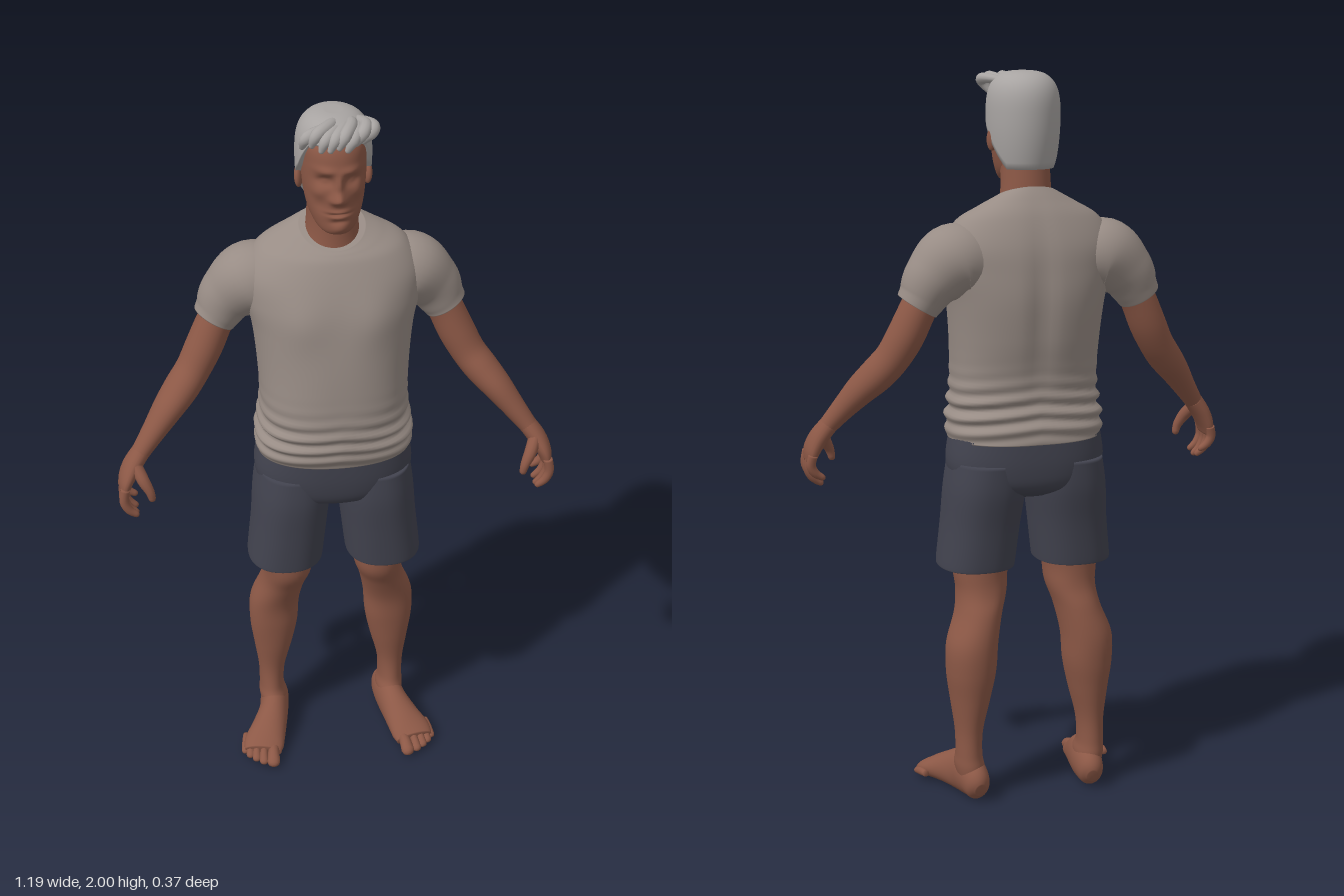
import * as THREE from 'three';

const mat = (name, color) => {
  const m = new THREE.MeshStandardMaterial({ color });
  m.name = name;
  return m;
};

// Catmull-Rom interpolation of rows of numbers
function smooth(rows, steps) {
  const out = [], last = rows.length - 1;
  for (let i = 0; i < last; i++) {
    const [a, b, c, d] = [rows[Math.max(i - 1, 0)], rows[i], rows[i + 1], rows[Math.min(i + 2, last)]];
    for (let k = 0; k < steps; k++) {
      const t = k / steps;
      out.push(b.map((_, j) => b[j] + 0.5 * t * (c[j] - a[j] + t * (2 * a[j] - 5 * b[j] + 4 * c[j] - d[j]
        + t * (3 * (b[j] - c[j]) + d[j] - a[j])))));
    }
  }
  out.push(rows[last]);
  return out;
}

// Skin a list of closed rings, facing outward, with optional end caps
function skin(rings, capStart = true, capEnd = true) {
  const n = rings[0].length, pts = rings.flat(), idx = [];
  for (let i = 0; i < rings.length - 1; i++) {
    for (let j = 0; j < n; j++) {
      const a = i * n + j, b = i * n + (j + 1) % n;
      idx.push(a, b, a + n, b, b + n, a + n);
    }
  }
  const cap = (r, flip) => {
    const c = pts.push(rings[r].reduce((s, p) => s.add(p), new THREE.Vector3()).divideScalar(n)) - 1;
    for (let j = 0; j < n; j++) {
      const a = r * n + j, b = r * n + (j + 1) % n;
      idx.push(c, flip ? b : a, flip ? a : b);
    }
  };
  if (capStart) cap(0, true);
  if (capEnd) cap(rings.length - 1, false);
  const mid = pts.reduce((s, p) => s.add(p), new THREE.Vector3()).divideScalar(pts.length);
  let volume = 0;
  const [A, B, C] = [0, 1, 2].map(() => new THREE.Vector3());
  for (let i = 0; i < idx.length; i += 3) {
    A.subVectors(pts[idx[i]], mid); B.subVectors(pts[idx[i + 1]], mid); C.subVectors(pts[idx[i + 2]], mid);
    volume += A.dot(B.cross(C));
  }
  if (volume < 0) idx.reverse();
  const g = new THREE.BufferGeometry().setFromPoints(pts);
  g.setIndex(idx);
  g.computeVertexNormals();
  return g;
}

const pw = (v, e) => Math.sign(v) * Math.abs(v) ** e;

// Horizontal sections: [y, centre x, half width, mid z, back z, front z, squareness, tilt]
function stack(rows, { side = 1, steps = 6, n = 48, warp = null, caps = [true, true] } = {}) {
  return skin(smooth(rows, steps).map(([y, cx, rx, zm, zb, zf, q, tilt]) => Array.from({ length: n }, (_, j) => {
    const t = j / n * Math.PI * 2, s = Math.sin(t);
    const dz = (s > 0 ? zf - zm : zm - zb) * pw(s, 2 / q);
    const p = new THREE.Vector3(side * (cx + rx * pw(Math.cos(t), 2 / q)), y + tilt * dz, zm + dz);
    if (warp) warp(p);
    return p;
  })), ...caps);
}

// Limb along a path: [x, y, z, radius across, radius along hint]
function limb(path, { side = 1, hint = [0, 0, 1], steps = 5, n = 20, floor = -1, round = false } = {}) {
  const rows = smooth(path, steps), at = i => new THREE.Vector3(...rows[i].slice(0, 3));
  const rings = rows.map((r, i) => {
    const dir = at(Math.min(i + 1, rows.length - 1)).sub(at(Math.max(i - 1, 0))).normalize();
    const v = new THREE.Vector3(...hint).addScaledVector(dir, -dir.dot(new THREE.Vector3(...hint))).normalize();
    const u = new THREE.Vector3().crossVectors(dir, v);
    const ring = (scale, push) => Array.from({ length: n }, (_, j) => {
      const t = j / n * Math.PI * 2;
      const p = at(i).addScaledVector(u, r[3] * scale * Math.cos(t)).addScaledVector(v, r[4] * scale * Math.sin(t))
        .addScaledVector(dir, push);
      return p.set(p.x * side, Math.max(p.y, floor), p.z);
    });
    // rounded tip
    return round && i === rows.length - 1 ? [ring(1, 0), ring(0.8, r[3] * 0.6), ring(0.35, r[3] * 0.92)] : [ring(1, 0)];
  });
  return skin(rings.flat());
}

const bell = (d, s) => Math.exp(-((d / s) ** 2));

// Face relief: [x, y, width, height, depth], mirrored
const RELIEF = [
  [0, 1.81, 0.015, 0.016, 0.026], [0, 1.845, 0.011, 0.026, 0.014], [0.015, 1.803, 0.01, 0.01, 0.008],
  [0.034, 1.852, 0.02, 0.013, -0.016], [0.034, 1.851, 0.011, 0.007, 0.006], [0.032, 1.88, 0.026, 0.01, 0.007],
  [0.055, 1.82, 0.018, 0.016, 0.006], [0.045, 1.785, 0.016, 0.02, -0.006], [0, 1.771, 0.024, 0.005, 0.006],
  [0, 1.764, 0.026, 0.003, -0.006], [0, 1.756, 0.02, 0.005, 0.006], [0, 1.742, 0.02, 0.006, -0.005],
  [0, 1.722, 0.022, 0.014, 0.006],
];
function face(p) {
  const w = Math.min(Math.max((p.z - 0.02) / 0.05, 0), 1);
  let d = 0;
  for (const [x, y, sx, sy, a] of RELIEF) d += a * bell(Math.abs(p.x) - x, sx) * bell(p.y - y, sy);
  p.z += d * w;
}

// Cloth: chest, spine groove and folds near the hem
function cloth(p) {
  const low = bell(p.y - 1.1, 0.07);
  const fold = 0.006 * low * Math.sin(p.y * 150 + 14 * Math.abs(p.x) + 6 * p.z);
  p.x += Math.sign(p.x) * fold * Math.min(1, Math.abs(p.x) * 8);
  p.z += Math.sign(p.z) * fold;
  if (p.z > 0.03) p.z += 0.01 * bell(Math.abs(p.x) - 0.1, 0.06) * bell(p.y - 1.46, 0.07);
  if (p.z < -0.05) p.z += 0.012 * bell(p.x, 0.03) * bell(p.y - 1.38, 0.2);
}

// Hair dome whose lower edge follows the hairline
function hairCap() {
  const n = 64, rings = [];
  for (let i = 0; i <= 24; i++) {
    rings.push(Array.from({ length: n }, (_, j) => {
      const t = j / n * Math.PI * 2, f = Math.sin(t), c = Math.cos(t);
      const edge = f > 0.3 ? 1.865 + 0.075 * Math.min(1, (f - 0.3) / 0.4)
        : f > 0 ? 1.835 + 0.1 * f : 1.835 - 0.09 * Math.min(1, -f * 1.6);
      const y = i < 2 ? edge : edge + (1.998 - edge) * Math.sin((i - 1) / 23 * Math.PI / 2);
      const h = y - 1.88;
      let r = h > 0 ? Math.cbrt(Math.max(0, 1 - (h / 0.1185) ** 3)) : 1 - 8 * h * h;
      if (i === 0) r *= 0.82;
      return new THREE.Vector3(0.098 * c * r, y, -0.005 + (f > 0 ? 0.108 : 0.115) * f * r);
    }));
  }
  return skin(rings);
}

export function createModel() {
  const model = new THREE.Group();
  model.name = 'standingMan';
  const skinMat = mat('skin', 0x8c5846), shirt = mat('shirtCloth', 0x988c85);
  const shorts = mat('shortsCloth', 0x42434f), hair = mat('greyHair', 0xa8a4a2);
  shorts.side = THREE.DoubleSide;
  const add = (name, geo, m, parent = model) => {
    const mesh = new THREE.Mesh(geo, m);
    mesh.name = name;
    parent.add(mesh);
    return mesh;
  };

  // Head and neck
  add('head', stack([
    [1.703, 0, 0.03, 0.04, 0, 0.085, 2, -0.1], [1.715, 0, 0.05, 0.03, -0.04, 0.105, 2.2, -0.1],
    [1.74, 0, 0.066, 0.01, -0.07, 0.112, 2.2, 0], [1.78, 0, 0.076, 0, -0.09, 0.113, 2.2, 0],
    [1.83, 0, 0.082, -0.01, -0.1, 0.112, 2.2, 0], [1.88, 0, 0.083, -0.01, -0.105, 0.112, 2.2, 0],
    [1.93, 0, 0.08, -0.01, -0.1, 0.102, 2.2, 0], [1.97, 0, 0.055, -0.01, -0.07, 0.07, 2, 0],
  ], { steps: 12, n: 96, warp: face }), skinMat);
  add('neck', stack([
    [1.6, 0, 0.09, -0.03, -0.1, 0.055, 2, 0], [1.65, 0, 0.073, -0.03, -0.1, 0.045, 2, -0.2],
    [1.7, 0, 0.067, -0.03, -0.098, 0.042, 2, 0], [1.77, 0, 0.066, -0.02, -0.09, 0.05, 2, 0],
  ]), skinMat);
  add('hair', hairCap(), hair);
  // Swept fringe locks
  for (let i = 0; i < 8; i++) {
    const k = i - 3.5, up = 0.006 * Math.sin(i * 2.4);
    add('hairLock', limb([
      [0.05 - i * 0.006, 1.973, -0.01, 0.008, 0.012], [0.03 - k * 0.017, 1.977 + up, 0.05, 0.014, 0.016],
      [0.005 - k * 0.023, 1.966 + up, 0.1 - 0.002 * k * k, 0.015, 0.016],
      [-0.01 - k * 0.022, 1.938 + up, 0.109 - 0.0035 * k * k, 0.007, 0.008],
    ], { hint: [1, 0, 0], n: 12, round: true }), hair);
  }

  // Shirt body
  add('shirtBody', stack([
    [1.018, 0, 0.212, -0.01, -0.168, 0.14, 2.4, 0], [1.06, 0, 0.214, -0.01, -0.168, 0.158, 2.4, 0],
    [1.12, 0, 0.205, -0.01, -0.155, 0.17, 2.4, 0], [1.2, 0, 0.2, -0.01, -0.157, 0.17, 2.4, 0],
    [1.3, 0, 0.205, -0.02, -0.175, 0.162, 2.3, 0], [1.4, 0, 0.216, -0.03, -0.185, 0.148, 2.3, 0],
    [1.48, 0, 0.235, -0.04, -0.182, 0.132, 2.2, 0], [1.55, 0, 0.235, -0.05, -0.172, 0.108, 2.2, 0],
    [1.615, 0, 0.195, -0.05, -0.148, 0.082, 2.1, -0.08], [1.65, 0, 0.135, -0.04, -0.122, 0.066, 2, -0.25],
    [1.67, 0, 0.086, -0.03, -0.1, 0.055, 2, -0.45],
  ], { steps: 10, n: 80, warp: cloth }), shirt);

  // Shorts: hips and open legs
  add('shortsHips', stack([
    [0.86, 0, 0.1, -0.02, -0.1, 0.07, 2, 0], [0.89, 0, 0.19, -0.02, -0.15, 0.115, 2.3, 0],
    [0.95, 0, 0.218, -0.02, -0.163, 0.13, 2.4, 0], [1.04, 0, 0.207, -0.02, -0.16, 0.132, 2.4, 0],
  ]), shorts);

  for (const side of [1, -1]) {
    const label = side > 0 ? 'left' : 'right';
    const half = new THREE.Group();
    half.name = label + 'Limbs';
    model.add(half);
    const o = { side };

    const ear = add('ear', new THREE.SphereGeometry(1, 20, 14), skinMat, half);
    ear.scale.set(0.011, 0.031, 0.019);
    ear.position.set(side * 0.088, 1.82, -0.012);
    ear.rotation.set(-0.2, side * 0.35, 0);

    add('shortsLeg', stack([
      [0.66, 0.138, 0.104, -0.005, -0.12, 0.112, 2.3, 0], [0.672, 0.138, 0.106, -0.005, -0.123, 0.114, 2.3, 0],
      [0.78, 0.126, 0.106, -0.01, -0.135, 0.12, 2.3, 0], [0.88, 0.116, 0.108, -0.02, -0.152, 0.125, 2.3, 0],
      [0.96, 0.11, 0.102, -0.02, -0.155, 0.118, 2.3, 0],
    ], { side, caps: [false, true] }), shorts, half);

    // Sleeve and arm
    add('sleeve', limb([
      [0.14, 1.5, -0.055, 0.085, 0.09], [0.21, 1.508, -0.062, 0.1, 0.1], [0.27, 1.462, -0.068, 0.081, 0.079],
      [0.3, 1.415, -0.066, 0.064, 0.066], [0.312, 1.395, -0.064, 0.059, 0.062],
    ], { ...o, n: 32, steps: 8 }), shirt, half);
    add('arm', limb([
      [0.28, 1.44, -0.066, 0.05, 0.054], [0.31, 1.385, -0.064, 0.049, 0.055], [0.342, 1.315, -0.055, 0.05, 0.057],
      [0.375, 1.255, -0.04, 0.047, 0.054], [0.41, 1.21, -0.018, 0.046, 0.056], [0.45, 1.165, 0.01, 0.04, 0.052],
      [0.49, 1.115, 0.035, 0.032, 0.04], [0.525, 1.07, 0.054, 0.026, 0.032], [0.54, 1.05, 0.06, 0.024, 0.034],
    ], { ...o, n: 28 }), skinMat, half);

    // Hand, fingers and thumb
    add('palm', limb([
      [0.525, 1.07, 0.054, 0.025, 0.031], [0.555, 1.03, 0.067, 0.025, 0.043],
      [0.573, 0.995, 0.077, 0.021, 0.05], [0.58, 0.965, 0.082, 0.014, 0.045],
    ], o), skinMat, half);
    for (let i = 0; i < 4; i++) {
      const z = 0.118 - i * 0.026, l = [0.9, 1, 0.95, 0.72][i];
      add('finger', limb([
        [0.578, 0.985, z, 0.013, 0.014], [0.583, 0.985 - 0.04 * l, z + 0.003, 0.013, 0.013],
        [0.572, 0.985 - 0.07 * l, z + 0.004, 0.012, 0.012], [0.553, 0.985 - 0.088 * l, z + 0.004, 0.009, 0.009],
      ], { ...o, n: 12, round: true }), skinMat, half);
    }
    add('thumb', limb([
      [0.548, 1.045, 0.08, 0.016, 0.02], [0.53, 1.01, 0.112, 0.017, 0.018],
      [0.514, 0.98, 0.125, 0.013, 0.014], [0.508, 0.957, 0.127, 0.01, 0.011],
    ], { ...o, n: 12, round: true }), skinMat, half);

    // Leg
    add('leg', stack([
      [0.04, 0.172, 0.032, -0.07, -0.118, -0.02, 2, 0], [0.09, 0.176, 0.04, -0.065, -0.122, 0.01, 2, 0],
      [0.13, 0.179, 0.036, -0.07, -0.118, -0.01, 2, 0], [0.2, 0.178, 0.039, -0.065, -0.119, -0.018, 2, 0],
      [0.29, 0.173, 0.056, -0.06, -0.133, -0.008, 2, 0], [0.37, 0.17, 0.069, -0.06, -0.145, 0, 2.1, 0],
      [0.45, 0.166, 0.071, -0.06, -0.147, 0.008, 2.1, 0], [0.53, 0.144, 0.064, -0.045, -0.132, 0.035, 2.1, 0],
      [0.59, 0.13, 0.068, -0.03, -0.112, 0.063, 2.2, 0], [0.65, 0.13, 0.075, -0.02, -0.108, 0.07, 2.1, 0],
      [0.75, 0.125, 0.085, -0.02, -0.115, 0.085, 2, 0],
    ], { side, n: 36 }), skinMat, half);

    // Foot and toes
    add('foot', limb([
      [0.165, 0.038, -0.136, 0.02, 0.015], [0.167, 0.045, -0.118, 0.045, 0.034], [0.171, 0.058, -0.07, 0.06, 0.042],
      [0.18, 0.055, -0.01, 0.062, 0.043], [0.2, 0.042, 0.05, 0.047, 0.051], [0.22, 0.028, 0.1, 0.032, 0.059],
      [0.227, 0.02, 0.13, 0.022, 0.054],
    ], { ...o, hint: [1, 0, 0], n: 28, floor: 0 }), skinMat, half);
    const toes = [[0.2, 0.175, 0.019], [0.228, 0.168, 0.013], [0.248, 0.153, 0.0125], [0.265, 0.136, 0.012], [0.278, 0.116, 0.0115]];
    for (const [x, z, r] of toes) {
      add('toe', limb([
        [x - 0.008, 0.026, z - 0.06, r * 0.8, r * 0.8], [x - 0.003, 0.023, z - 0.03, r, r * 0.9],
        [x, 0.016, z, r * 0.85, r],
      ], { ...o, hint: [1, 0, 0], n: 14, floor: 0, round: true }), skinMat, half);
    }
  }
  return model;
}
